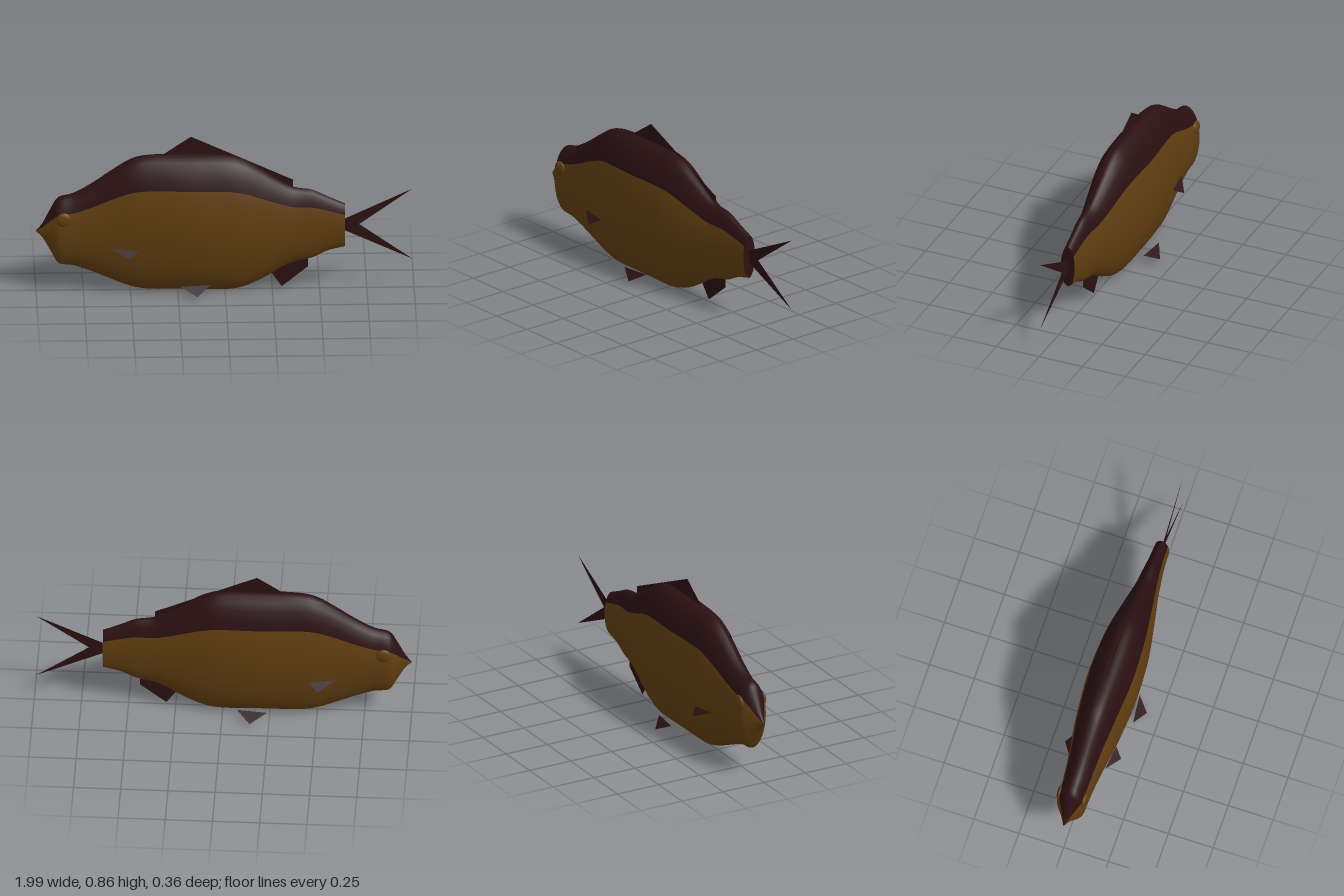
import * as THREE from 'three';

const SIDES = 32; // around the body
const BACK = 5;   // segments on each side of the spine that are dark

// body stations: x, belly height, back height, half width
const STATIONS = [
  [-1, 0.338, 0.342, 0.002], [-0.965, 0.305, 0.385, 0.022], [-0.92, 0.225, 0.47, 0.052],
  [-0.88, 0.16, 0.53, 0.076], [-0.8, 0.147, 0.553, 0.08], [-0.7, 0.11, 0.61, 0.088],
  [-0.6, 0.067, 0.68, 0.099], [-0.5, 0.027, 0.742, 0.114], [-0.4, 0.01, 0.765, 0.125],
  [-0.2, 0.009, 0.767, 0.14], [0, 0.004, 0.762, 0.131], [0.1, 0.02, 0.735, 0.118],
  [0.2, 0.065, 0.675, 0.1], [0.3, 0.125, 0.61, 0.081], [0.37, 0.157, 0.575, 0.067],
  [0.46, 0.177, 0.56, 0.054], [0.54, 0.215, 0.523, 0.045], [0.635, 0.24, 0.48, 0.04],
];

// elliptical cross-sections lofted along x, dark faces first
function bodyGeometry() {
  const heights = new THREE.CatmullRomCurve3(STATIONS.map(([x, b, t]) => new THREE.Vector3(x, b, t)), false, 'catmullrom');
  const widths = new THREE.CatmullRomCurve3(STATIONS.map(([x, , , w]) => new THREE.Vector3(x, w, 0)), false, 'catmullrom');
  const rows = (STATIONS.length - 1) * 4;
  const positions = [], back = [], flank = [];
  for (let i = 0; i <= rows; i++) {
    const p = heights.getPoint(i / rows), w = widths.getPoint(i / rows).y;
    for (let j = 0; j < SIDES; j++) {
      const a = (j / SIDES) * Math.PI * 2;
      positions.push(p.x, (p.y + p.z) / 2 + ((p.z - p.y) / 2) * Math.cos(a), w * Math.sin(a));
      if (i === rows) continue;
      const k = (j + 1) % SIDES, A = i * SIDES + j, B = i * SIDES + k;
      const faces = j < BACK || j >= SIDES - BACK ? back : flank;
      faces.push(A, B, A + SIDES, B, B + SIDES, A + SIDES);
    }
  }
  const g = new THREE.BufferGeometry();
  g.setAttribute('position', new THREE.Float32BufferAttribute(positions, 3));
  g.setIndex([...back, ...flank]);
  g.addGroup(0, back.length, 0);
  g.addGroup(back.length, flank.length, 1);
  g.computeVertexNormals();
  return g;
}

export function createModel() {
  const fish = new THREE.Group();
  fish.name = 'fish';
  const dark = new THREE.MeshStandardMaterial({ color: 0x2a1012, side: THREE.DoubleSide });
  dark.name = 'darkMaroon';
  const brown = new THREE.MeshStandardMaterial({ color: 0x603e10 });
  brown.name = 'goldenBrown';

  const add = (name, geometry, material) => {
    const mesh = new THREE.Mesh(geometry, material);
    mesh.name = name;
    fish.add(mesh);
    return mesh;
  };

  add('body', bodyGeometry(), [dark, brown]);

  // flat end of the body at the tail root
  const end = add('tailRoot', new THREE.CircleGeometry(1, SIDES), dark);
  end.rotation.y = Math.PI / 2;
  end.scale.set(0.04, 0.12, 1);
  end.position.set(0.635, 0.36, 0);

  // flat fins in the middle plane
  const flatFin = (name, points) =>
    add(name, new THREE.ShapeGeometry(new THREE.Shape(points.map(([x, y]) => new THREE.Vector2(x, y)))), dark);
  flatFin('dorsalFin', [[-0.33, 0.765], [-0.18, 0.866], [0.36, 0.618], [0.36, 0.54], [-0.3, 0.7]]);
  flatFin('analFin', [[0.24, 0.1], [0.3, 0.015], [0.44, 0.127], [0.44, 0.2], [0.27, 0.2]]);
  flatFin('tailFin', [[0.63, 0.393], [0.99, 0.56], [0.71, 0.363], [0.99, 0.165], [0.63, 0.33]]);

  // paired fins and eyes
  const sideFin = (name, side, points) => {
    const g = new THREE.BufferGeometry();
    g.setAttribute('position', new THREE.Float32BufferAttribute(points.flatMap(([x, y, z]) => [x, y, z * side]), 3));
    if (side < 0) g.setIndex([0, 2, 1]);
    g.computeVertexNormals();
    add(name, g, dark);
  };
  for (const side of [1, -1]) {
    const label = side > 0 ? 'left' : 'right';
    sideFin(label + 'PectoralFin', side, [[-0.605, 0.276, 0.098], [-0.51, 0.232, 0.156], [-0.46, 0.263, 0.113]]);
    sideFin(label + 'PelvicFin', side, [[-0.24, 0.068, 0.132], [-0.15, 0.025, 0.179], [-0.08, 0.068, 0.115]]);
    const eye = add(label + 'Eye', new THREE.SphereGeometry(0.041, 24, 16), brown);
    eye.scale.z = 0.4;
    eye.position.set(-0.853, 0.423, side * 0.067);
  }
  return fish;
}
